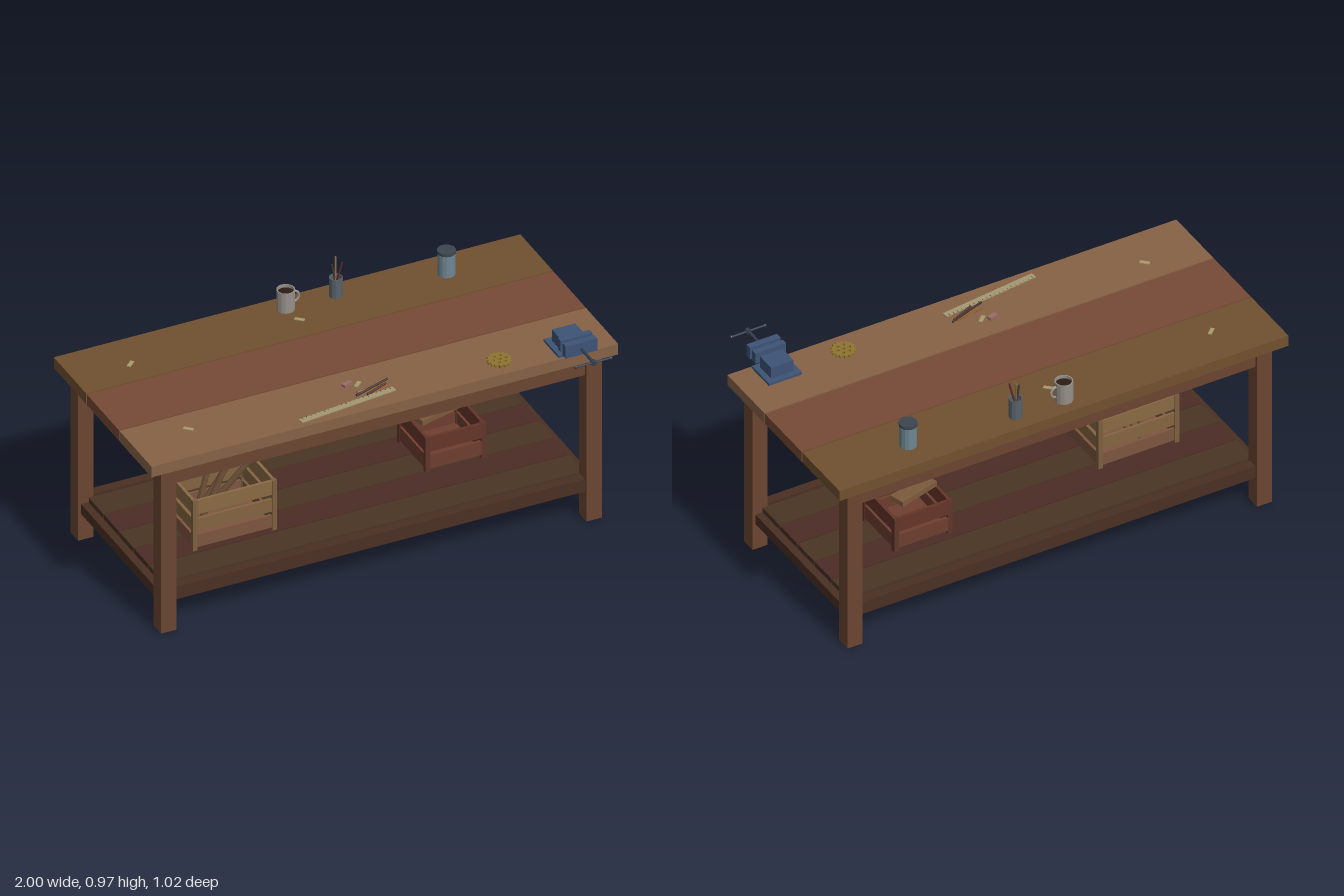
import * as THREE from 'three';

const mats = {};
const mat = (color, double = false) => (mats[color + '_' + double] ??= new THREE.MeshStandardMaterial({
  color, flatShading: true, side: double ? THREE.DoubleSide : THREE.FrontSide }));

function add(parent, name, geo, color, x = 0, y = 0, z = 0, double = false) {
  const m = new THREE.Mesh(geo, mat(color, double));
  m.name = name;
  m.position.set(x, y, z);
  parent.add(m);
  return m;
}

// Box given by its min and max on each axis
function box(parent, name, color, x0, x1, y0, y1, z0, z1) {
  return add(parent, name, new THREE.BoxGeometry(x1 - x0, y1 - y0, z1 - z0), color,
    (x0 + x1) / 2, (y0 + y1) / 2, (z0 + z1) / 2);
}

// Round bar between two points
function rod(parent, name, color, a, b, r0, r1 = r0, sides = 8) {
  const p = new THREE.Vector3(...a), q = new THREE.Vector3(...b), d = q.clone().sub(p);
  const m = add(parent, name, new THREE.CylinderGeometry(r1, r0, d.length(), sides), color);
  m.position.copy(p).add(q).multiplyScalar(0.5);
  m.quaternion.setFromUnitVectors(new THREE.Vector3(0, 1, 0), d.normalize());
  return m;
}

// Hollow open vessel from an outer radius and height
function vessel(parent, name, color, r, h, x, z, sides = 12) {
  const pts = [[0, 0], [r, 0], [r, h], [r * 0.88, h], [r * 0.88, 0.01], [0, 0.01]];
  return add(parent, name, new THREE.LatheGeometry(pts.map(p => new THREE.Vector2(...p)), sides),
    color, x, 0.8, z, true);
}

function group(parent, name) {
  const g = new THREE.Group();
  g.name = name;
  parent.add(g);
  return g;
}

// Slatted crate with corner posts standing on the shelf
function crate(parent, name, x0, x1, z0, z1, top, rows, postColor, colors) {
  const g = group(parent, name), p = 0.02, i = 0.003, t = 0.012;
  for (const x of [x0, x1 - p]) for (const z of [z0, z1 - p])
    box(g, 'cratePost', postColor, x, x + p, 0.187, top, z, z + p);
  rows.forEach(([a, b], k) => {
    const c = colors[k % colors.length];
    for (const z of [z0 + i, z1 - i - t]) box(g, 'crateSlat', c, x0 + p, x1 - p, a, b, z, z + t);
    for (const x of [x0 + i, x1 - i - t]) box(g, 'crateSlat', c, x, x + t, a, b, z0 + p, z1 - p);
  });
  box(g, 'crateFloor', colors[0], x0 + i + t, x1 - i - t, 0.2, 0.212, z0 + i + t, z1 - i - t);
  return g;
}

export function createModel() {
  const root = new THREE.Group();
  root.name = 'workbench';
  const frame = 0x6b4530, dark = 0x4a2f22;

  // Tabletop planks and backing panel
  const top = group(root, 'tabletop');
  [[0.07, 0.355, 0x866246], [-0.218, 0.065, 0x764a36], [-0.51, -0.223, 0x70502f]].forEach(
    ([a, b, c]) => box(top, 'topPlank', c, -1, 1, 0.752, 0.8, a, b));
  box(top, 'backingPanel', dark, -0.93, 0.93, 0.745, 0.752, -0.46, 0.31);

  // Legs, aprons and lower rails
  for (const s of [-1, 1]) {
    for (const z of [0.29, -0.443])
      add(root, 'leg', new THREE.BoxGeometry(0.066, 0.752, 0.067), frame, s * 0.912, 0.376, z);
    add(root, 'sideApron', new THREE.BoxGeometry(0.04, 0.082, 0.666), frame, s * 0.912, 0.706, -0.0765);
    add(root, 'sideRail', new THREE.BoxGeometry(0.04, 0.045, 0.666), dark, s * 0.912, 0.1425, -0.0765);
  }
  for (const z of [0.29, -0.443]) {
    box(root, 'longApron', frame, -0.88, 0.88, 0.665, 0.747, z - 0.02, z + 0.02);
    box(root, 'longRail', dark, -0.88, 0.88, 0.13, 0.187, z - 0.02, z + 0.02);
  }

  // Lower shelf boards
  const shelf = group(root, 'shelf');
  for (let i = 0; i < 5; i++) {
    const z = 0.256 - i * 0.1335;
    box(shelf, 'shelfBoard', [0x4a3524, 0x4b2c25][i % 2], -0.9, 0.9, 0.163, 0.187, z - 0.1285, z);
  }

  // Large crate with loose sticks
  const big = crate(root, 'largeCrate', -0.705, -0.345, -0.18, 0.113, 0.415,
    [[0.2, 0.256], [0.273, 0.33], [0.35, 0.413]], 0x7d5f3f, [0x7d5540, 0x846441, 0x8a6a45]);
  [[-0.602, -0.087, -0.537, 0.552, -0.038], [-0.59, -0.06, -0.484, 0.545, 0.019],
    [-0.584, -0.115, -0.436, 0.537, -0.011], [-0.567, -0.1, -0.387, 0.528, 0.044]].forEach(
    ([x, z, tx, ty, tz]) => rod(big, 'stick', 0x77593d, [x, 0.19, z], [tx, ty, tz], 0.012));

  // Small crate with a board lying across it
  const small = crate(root, 'smallCrate', 0.345, 0.605, -0.248, 0.003, 0.345,
    [[0.2, 0.262], [0.277, 0.343]], 0x60352a, [0x6e3e2f, 0x663529]);
  add(small, 'looseBoard', new THREE.BoxGeometry(0.19, 0.023, 0.066), 0x7d5a3c, 0.455, 0.358, -0.138)
    .rotation.y = 0.28;

  // Mug with handle
  const mug = group(root, 'mug');
  vessel(mug, 'mugBody', 0x96908a, 0.037, 0.09, -0.045, -0.43, 14);
  add(mug, 'mugDrink', new THREE.CylinderGeometry(0.033, 0.033, 0.004, 14), 0x2c1d15, -0.045, 0.875, -0.43);
  const handle = add(mug, 'mugHandle', new THREE.TorusGeometry(0.024, 0.005, 6, 12, Math.PI), 0x96908a,
    -0.012, 0.848, -0.43);
  handle.rotation.z = -Math.PI / 2;

  // Pencil cup
  const cup = group(root, 'pencilCup');
  vessel(cup, 'cupBody', 0x59626b, 0.027, 0.086, 0.17, -0.43);
  [[0.178, -0.435, 0.155, 0.945, -0.432, 0x3a3a3a], [0.165, -0.422, 0.177, 0.967, -0.447, 0x8a6a3f],
    [0.162, -0.437, 0.19, 0.953, -0.416, 0x5a2a2a]].forEach(
    ([x, z, tx, ty, tz, c]) => rod(cup, 'cupPencil', c, [x, 0.812, z], [tx, ty, tz], 0.004, 0.004, 6));

  // Lidded can
  const can = group(root, 'can');
  add(can, 'canBody', new THREE.CylinderGeometry(0.035, 0.035, 0.1, 14), 0x6f8794, 0.622, 0.85, -0.384);
  add(can, 'canLid', new THREE.CylinderGeometry(0.037, 0.037, 0.012, 14), 0x3c4650, 0.622, 0.904, -0.384);

  // Bench vise
  const vise = group(root, 'vise'), blue = 0x3d5375, steel = 0x333f4e, cx = 0.823;
  const part = (name, w, y0, y1, z0, z1, c = blue) => box(vise, name, c, cx - w, cx + w, y0, y1, z0, z1);
  part('viseBase', 0.074, 0.8, 0.811, 0.213, 0.346);
  part('viseBody', 0.05, 0.811, 0.862, 0.237, 0.323);
  part('viseSlide', 0.03, 0.824, 0.832, 0.3, 0.385, steel);
  part('fixedJaw', 0.068, 0.83, 0.88, 0.327, 0.352);
  part('movingJaw', 0.068, 0.825, 0.88, 0.368, 0.396);
  rod(vise, 'viseScrew', steel, [cx, 0.85, 0.32], [cx, 0.85, 0.503], 0.006);
  rod(vise, 'screwCap', steel, [cx, 0.85, 0.493], [cx, 0.85, 0.51], 0.011);
  rod(vise, 'viseHandle', steel, [cx - 0.075, 0.85, 0.501], [cx + 0.075, 0.85, 0.501], 0.004);
  for (const s of [-1, 1])
    add(vise, 'handleKnob', new THREE.SphereGeometry(0.007, 8, 6), steel, cx + s * 0.075, 0.85, 0.501);

  // Toothed brass wheel lying flat
  const gear = new THREE.Shape(), teeth = 16;
  for (let i = 0; i < teeth * 4; i++) {
    const a = (i / (teeth * 4)) * Math.PI * 2, r = i % 4 < 2 ? 0.051 : 0.044;
    gear[i ? 'lineTo' : 'moveTo'](r * Math.cos(a), r * Math.sin(a));
  }
  const hole = (x, y, r) => gear.holes.push(new THREE.Path().absarc(x, y, r, 0, Math.PI * 2, true));
  hole(0, 0, 0.008);
  for (let i = 0; i < 6; i++) hole(0.026 * Math.cos(i * Math.PI / 3), 0.026 * Math.sin(i * Math.PI / 3), 0.007);
  add(root, 'gearWheel', new THREE.ExtrudeGeometry(gear, { depth: 0.011, bevelEnabled: false, curveSegments: 5 }),
    0x8f7430, 0.535, 0.8, 0.265).rotation.x = -Math.PI / 2;

  // Ruler with tick marks
  const ruler = group(root, 'ruler');
  ruler.position.set(-0.13, 0.802, 0.291);
  ruler.rotation.y = 0.12;
  add(ruler, 'rulerStrip', new THREE.BoxGeometry(0.43, 0.004, 0.027), 0xa39873);
  for (let i = 0; i < 21; i++)
    add(ruler, 'rulerTick', new THREE.BoxGeometry(0.002, 0.001, i % 5 ? 0.006 : 0.011), 0x4a4436,
      -0.2 + i * 0.02, 0.0022, -0.0135 + (i % 5 ? 0.003 : 0.0055));

  // Loose pencils, eraser and shavings
  [[-0.075, 0.258, 0.085, 0.203, 0x3d3029], [-0.06, 0.232, 0.06, 0.212, 0x8a5a2c],
    [-0.03, 0.262, 0.07, 0.22, 0x5b3226]].forEach(([x, z, tx, tz, c], i) => {
    const y = 0.805 + (i === 0 ? 0.006 : 0);
    rod(root, 'loosePencil', c, [x, y, z], [tx, y, tz], 0.005, 0.004, 6);
  });
  add(root, 'eraser', new THREE.BoxGeometry(0.04, 0.012, 0.02), 0x9a6a66, -0.07, 0.806, 0.163).rotation.y = 0.3;
  [[-0.755, -0.337, 1], [-0.03, -0.337, -1], [-0.755, 0.175, -1], [-0.03, 0.175, 1]].forEach(([x, z, s]) => {
    add(root, 'shaving', new THREE.BoxGeometry(0.04, 0.003, 0.016), 0xa89a68, x, 0.8015, z).rotation.y = s * 0.75;
  });

  return root;
}
